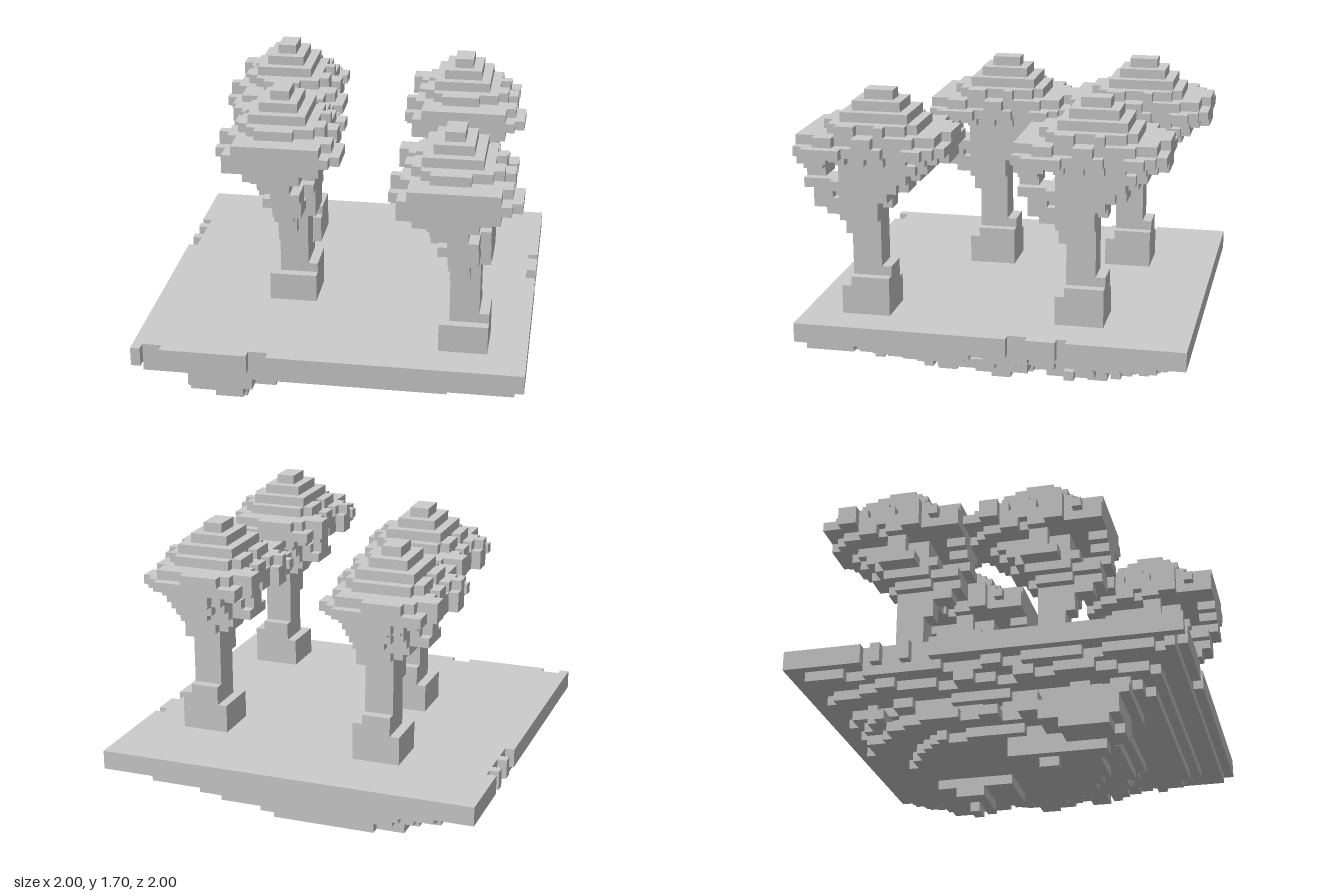
import * as THREE from 'three';
import { mergeGeometries } from 'three/addons/utils/BufferGeometryUtils.js';

const U = 0.05; // size of one voxel
const stone = new THREE.MeshStandardMaterial({ color: 0xcccccc });
stone.name = 'plain grey';

function named(name, geometry) {
  const mesh = new THREE.Mesh(geometry, stone);
  mesh.name = name;
  return mesh;
}

// Voxel boxes given as [x0, x1, y0, y1, z0, z1] in cells
function boxes(list) {
  return mergeGeometries(list.map(([x0, x1, y0, y1, z0, z1]) =>
    new THREE.BoxGeometry((x1 - x0) * U, (y1 - y0) * U, (z1 - z0) * U)
      .translate((x0 + x1) * U / 2, (y0 + y1) * U / 2, (z0 + z1) * U / 2)));
}

// Flat layer with a stepped outline: one [x0, x1] span per cell row, from row z0
function layer(spans, z0, y0, y1) {
  const right = [], left = [];
  spans.forEach(([a, b], i) => {
    const z = z0 + i;
    right.push([b, z], [b, z + 1]);
    left.push([a, z], [a, z + 1]);
  });
  const outline = right.concat(left.reverse())
    .filter((p, i, all) => {
      const q = all[(i + all.length - 1) % all.length];
      return p[0] !== q[0] || p[1] !== q[1];
    })
    .map(([x, z]) => new THREE.Vector2(x * U, z * U));
  return new THREE.ExtrudeGeometry(new THREE.Shape(outline), { depth: (y1 - y0) * U, bevelEnabled: false })
    .rotateX(Math.PI / 2).translate(0, y1 * U, 0);
}

function seeded(seed) {
  return () => {
    seed = (seed * 16807) % 2147483647;
    return seed / 2147483647;
  };
}

function makeTree() {
  const tree = new THREE.Group();

  tree.add(named('trunk', boxes([
    [5, 10, 11, 14, 6, 11], [6, 10, 14, 15, 6, 10], [6, 9, 15, 16, 6, 10],
    [6, 9, 14, 22, 7, 10], [6, 8, 19, 21, 10, 11],
  ])));

  // Branches flare out towards the crown, further to the front than to the back
  tree.add(named('branches', boxes([
    [6, 10, 21, 22, 7, 11], [6, 8, 21, 22, 11, 13],
    [5, 10, 22, 23, 7, 11], [6, 9, 22, 23, 11, 14], [6, 8, 22, 23, 6, 7],
    [4, 10, 23, 24, 6, 11], [5, 8, 23, 24, 11, 14], [8, 9, 23, 24, 12, 14],
    [4, 10, 24, 25, 5, 12], [6, 9, 24, 25, 4, 5], [6, 9, 24, 25, 12, 15],
    [2, 4, 24, 25, 6, 10], [2, 3, 25, 27, 7, 9], [3, 4, 25, 26, 6, 8],
    [4, 10, 25, 26, 4, 11], [5, 8, 25, 26, 3, 4], [5, 8, 25, 26, 13, 15],
    [4, 10, 26, 27, 3, 11], [5, 9, 26, 27, 2, 3], [4, 9, 26, 27, 13, 15],
  ])));

  // Crown: three ragged broad layers and a stepped dome
  const underside = [[4, 8], [3, 9], [2, 10], [2, 9], [1, 10], [1, 10], [2, 11], [1, 10],
    [1, 11], [0, 10], [0, 11], [1, 10], [1, 11], [1, 11], [1, 11]];
  const rim = [[1, 10], [1, 11], [0, 12], [0, 12], [1, 11], [1, 11], [1, 12], [1, 12],
    [1, 12], [0, 12], [0, 13], [1, 13], [0, 13], [1, 13], [1, 12]];
  const shoulder = [[3, 7], [2, 10], [0, 10], [0, 11], [1, 11], [2, 11], [1, 11], [1, 12],
    [2, 12], [1, 11], [0, 11], [1, 12], [2, 12], [2, 11], [2, 11]];
  const dome = [[3, 9], [2, 10], [2, 10], [2, 11], [3, 10], [2, 10], [2, 11], [2, 11], [3, 10], [4, 8]];
  const crown = new THREE.Group();
  crown.name = 'crown';
  crown.add(
    named('crownUnderside', layer(underside, 0, 27, 28)),
    named('crownRim', layer(rim, 0, 28, 29)),
    named('crownShoulder', layer(shoulder, 0, 29, 30)),
    named('crownDome', layer(dome, 3, 30, 31)),
    named('crownTop', boxes([[3, 9, 31, 32, 4, 11], [4, 8, 32, 33, 5, 10], [5, 7, 33, 34, 6, 9]])),
  );
  tree.add(crown);
  return tree;
}

function makeIsland() {
  const island = new THREE.Group();
  island.name = 'island';

  // Top slab with small notches along its edges
  const leftNotches = [8, 10, 11, 13, 14], rightNotches = [12, 16, 17];
  const spans = Array.from({ length: 39 }, (_, r) =>
    [leftNotches.includes(r) ? 1 : 0, rightNotches.includes(r) ? 39 : 40]);
  island.add(named('ground', layer(spans, 0, 9, 11)));
  island.add(named('groundFrontEdge', boxes([[0, 1, 9, 11, 39, 40], [3, 12, 9, 11, 39, 40], [14, 40, 9, 11, 39, 40]])));

  // Ragged rock layers, shrinking downwards: [y, x0, x1, z0, z1, raggedness, squareness]
  const random = seeded(4711);
  const rocks = [
    [8, 1, 39, 2, 39, 1.4, 30], [7, 2, 37, 3, 37, 2.4, 12], [6, 4, 36, 4, 36, 3.5, 6],
    [5, 4, 35, 5, 32, 4, 4], [4, 4, 33, 5, 31, 3.5, 2.8], [3, 7, 28, 9, 29, 1.5, 2.2],
  ];
  for (const [y, x0, x1, z0, z1, ragged, power] of rocks) {
    const rows = [];
    let a = 0, b = 0;
    for (let z = z0; z < z1; z++) {
      if ((z - z0) % 2 === 0) {
        a = random() * ragged;
        b = random() * ragged;
      }
      const t = Math.abs((z + 0.5 - z0) / (z1 - z0) * 2 - 1);
      const inset = (1 - Math.pow(1 - Math.pow(t, power), 1 / power)) * (x1 - x0) / 2;
      rows.push([Math.floor(x0 + inset + a), Math.ceil(x1 - inset - b)]);
    }
    island.add(named('rockLayer', layer(rows, z0, y, y + 1)));
  }

  // Hanging rock tips: one in the middle, one under the front right corner
  island.add(named('middleRockTip', boxes([
    [18, 24, 2, 3, 11, 19], [18, 23, 1, 2, 13, 16], [20, 22, 0, 1, 14, 15],
  ])));
  island.add(named('frontRockTip', boxes([
    [4, 13, 5, 6, 27, 34], [4, 11, 3, 5, 25, 33], [11, 13, 3, 5, 22, 31],
    [4, 8, 2, 3, 27, 32], [8, 13, 2, 3, 21, 30], [7, 10, 2, 3, 30, 33],
    [8, 10, 1, 2, 21, 31], [9, 10, 0, 1, 24, 26],
  ])));
  island.position.set(-1, 0, -1);
  return island;
}

export function createModel() {
  const model = new THREE.Group();
  model.name = 'floatingGrove';
  model.add(makeIsland());
  const places = { backRightTree: [-0.75, -0.95], frontRightTree: [-0.65, -0.2], backLeftTree: [0.25, -0.85], frontLeftTree: [0.3, 0.25] };
  for (const [name, [x, z]] of Object.entries(places)) {
    const tree = makeTree();
    tree.name = name;
    tree.position.set(x, 0, z);
    model.add(tree);
  }
  return model;
}
